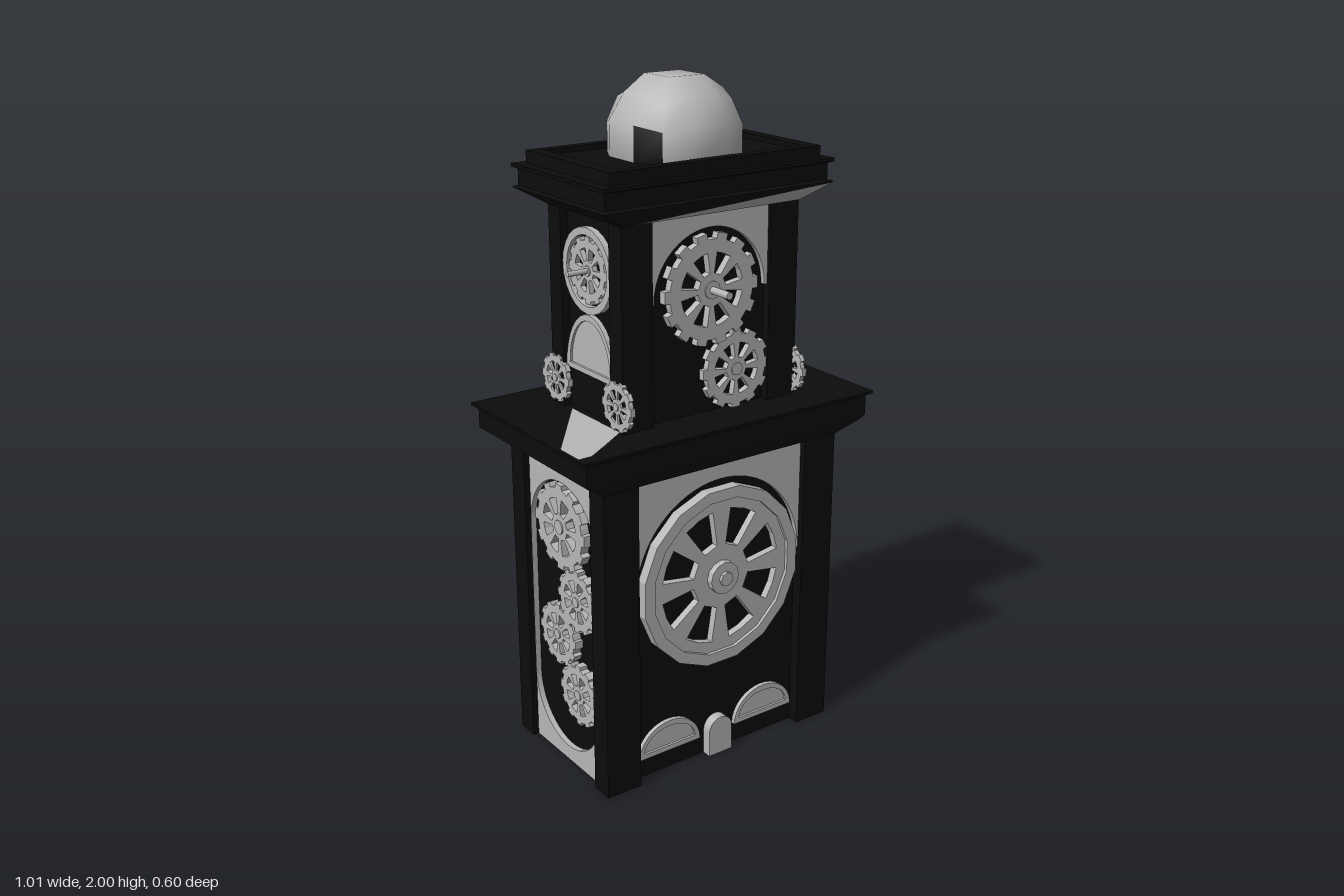
import * as THREE from 'three';

const black = new THREE.MeshStandardMaterial({ color: 0x0c0c0c });
black.name = 'black iron';
const grey = new THREE.MeshStandardMaterial({ color: 0xb8b8b8, side: THREE.DoubleSide });
grey.name = 'grey stone';

function add(parent, name, geometry, material, x = 0, y = 0, z = 0) {
  const mesh = new THREE.Mesh(geometry, material);
  mesh.name = name;
  mesh.position.set(x, y, z);
  parent.add(mesh);
  return mesh;
}

function extrude(shape, depth, curveSegments = 24) {
  return new THREE.ExtrudeGeometry(shape, { depth, bevelEnabled: false, curveSegments });
}

function polygon(points) {
  return new THREE.Shape(points.map(([x, y]) => new THREE.Vector2(x, y)));
}

function rectangle(hw, y0, y1) {
  return polygon([[-hw, y0], [hw, y0], [hw, y1], [-hw, y1]]);
}

// Round outline with a given number of sides
function ring(r, sides, turn = 0) {
  return Array.from({ length: sides }, (_, i) => {
    const a = (i / sides) * Math.PI * 2 + turn;
    return new THREE.Vector2(r * Math.cos(a), r * Math.sin(a));
  });
}

// Eight tapering openings between spokes
function cutSpokes(shape, inner, outer, half) {
  for (let i = 0; i < 8; i++) {
    const a = (i + 0.5) * Math.PI / 4;
    const at = (r, b) => new THREE.Vector2(r * Math.cos(a + b), r * Math.sin(a + b));
    shape.holes.push(new THREE.Path([
      at(inner, -half), at(outer, -half), at(outer, 0), at(outer, half), at(inner, half)]));
  }
  return shape;
}

// Toothed wheel with spokes and hub
function gear(parent, name, x, y, z, r, depth = 0.02, teeth = 12) {
  const pts = [];
  for (let i = 0; i < teeth; i++) {
    const profile = [[-0.5, 0.89], [-0.27, 0.89], [-0.24, 1], [0.24, 1], [0.27, 0.89]];
    for (const [k, f] of profile) {
      const a = ((i + k) / teeth) * Math.PI * 2;
      pts.push([r * f * Math.cos(a), r * f * Math.sin(a)]);
    }
  }
  const g = new THREE.Group();
  g.name = name;
  g.position.set(x, y, z);
  parent.add(g);
  add(g, 'gearWheel', extrude(cutSpokes(polygon(pts), r * 0.3, r * 0.66, 0.24), depth), grey);
  add(g, 'gearHub', extrude(new THREE.Shape(ring(r * 0.16, 12)), depth + 0.004), grey);
}

// Half-oval window: raised rim around a plate
function lunette(parent, x, y, z, rx, ry) {
  const half = (a, b, y0) => Array.from({ length: 17 }, (_, i) => {
    const t = (i / 16) * Math.PI;
    return new THREE.Vector2(a * Math.cos(t), y0 + b * Math.sin(t));
  });
  const rim = new THREE.Shape(half(rx, ry, 0));
  rim.holes.push(new THREE.Path(half(rx - 0.018, ry - 0.034, 0.016)));
  add(parent, 'windowRim', extrude(rim, 0.015), grey, x, y, z);
  add(parent, 'windowPlate', extrude(new THREE.Shape(half(rx - 0.01, ry - 0.01, 0.002)), 0.008), grey, x, y, z);
}

// Panel above a half-round arch
function archPanel(parent, hw, cy, r, top, z) {
  const s = new THREE.Shape();
  s.moveTo(hw, cy);
  s.lineTo(hw, top);
  s.lineTo(-hw, top);
  s.lineTo(-hw, cy);
  s.lineTo(-r, cy);
  s.absarc(0, cy, r, Math.PI, 0, true);
  add(parent, 'archPanel', extrude(s, 0.018), grey, 0, 0, z);
}

// Back panel with an oval opening and upright bars
function barredPanel(parent, hw, y0, y1, cy, ry, z) {
  const s = rectangle(hw, y0, y1);
  const hole = new THREE.Path();
  hole.absellipse(0, cy, hw - 0.003, ry, 0, Math.PI * 2, true);
  s.holes.push(hole);
  add(parent, 'ovalPanel', extrude(s, 0.018, 40), grey, 0, 0, z);
  const barR = hw * 0.065;
  for (const i of [-1, 0, 1]) {
    const h = 2 * ry * (i ? 0.82 : 1);
    add(parent, 'bar', new THREE.CylinderGeometry(barR, barR, h, 12), grey, i * hw * 0.62, cy, z);
  }
}

// Rectangular moulding lofted through [half width, half depth, height] rows
function moulding(parent, name, rows) {
  const pos = [];
  const corner = ([x, z, y], k) => [[-x, y, z], [x, y, z], [x, y, -z], [-x, y, -z]][k % 4];
  for (let i = 0; i < rows.length - 1; i++) {
    for (let k = 0; k < 4; k++) {
      const a = corner(rows[i], k), b = corner(rows[i], k + 1);
      const c = corner(rows[i + 1], k + 1), d = corner(rows[i + 1], k);
      pos.push(...a, ...b, ...c, ...a, ...c, ...d);
    }
  }
  const g = new THREE.BufferGeometry();
  g.setAttribute('position', new THREE.Float32BufferAttribute(pos, 3));
  g.computeVertexNormals();
  add(parent, name, g, black);
}

function triangle(parent, name, points) {
  const g = new THREE.BufferGeometry();
  g.setAttribute('position', new THREE.Float32BufferAttribute(points.flat(), 3));
  g.computeVertexNormals();
  add(parent, name, g, grey);
}

// Core and four corner posts of one storey
function storey(parent, hx, hz, px, pz, y0, y1, inset) {
  const h = y1 - y0, y = (y0 + y1) / 2;
  add(parent, 'core', new THREE.BoxGeometry(2 * (hx - inset), h, 2 * (hz - inset)), black, 0, y, 0);
  for (const sx of [-1, 1]) for (const sz of [-1, 1]) {
    add(parent, 'cornerPost', new THREE.BoxGeometry(hx - px, h, hz - pz), black,
      sx * (hx + px) / 2, y, sz * (hz + pz) / 2);
  }
}

export function createModel() {
  const model = new THREE.Group();
  model.name = 'clockTower';
  const face = (name, turn) => {
    const g = new THREE.Group();
    g.name = name;
    g.rotation.y = turn;
    model.add(g);
    return g;
  };
  storey(model, 0.41, 0.245, 0.295, 0.175, 0, 0.95, 0.035);
  storey(model, 0.3, 0.18, 0.2, 0.12, 1.06, 1.67, 0.025);

  // Cornices
  moulding(model, 'lowerCornice', [[0, 0, 0.945], [0.41, 0.245, 0.945], [0.475, 0.283, 0.99],
    [0.488, 0.288, 1.0], [0.488, 0.288, 1.062], [0.505, 0.3, 1.068], [0.505, 0.3, 1.076], [0, 0, 1.076]]);
  moulding(model, 'upperCornice', [[0, 0, 1.65], [0.3, 0.18, 1.65], [0.385, 0.228, 1.7],
    [0.372, 0.215, 1.705], [0.372, 0.215, 1.75], [0.385, 0.228, 1.755], [0.385, 0.228, 1.765],
    [0.35, 0.207, 1.765], [0.35, 0.207, 1.8], [0.31, 0.175, 1.8], [0.31, 0.175, 1.785], [0, 0, 1.785]]);
  triangle(model, 'frontSoffitPatch', [[-0.28, 1.65, 0.184], [0.3, 1.65, 0.184], [0.384, 1.698, 0.23]]);
  triangle(model, 'backSoffitPatch', [[0.4, 0.945, -0.249], [-0.41, 0.945, -0.249], [-0.475, 0.988, -0.287]]);
  for (const s of [-1, 1]) {
    const patch = polygon([[0.3, 0.08], [0.5, -0.18], [0.5, -0.27], [0.46, -0.27], [0.39, -0.225], [0.3, -0.165]]
      .map(([x, z]) => [s * x, -s * z]));
    add(model, 'ledgePatch', new THREE.ShapeGeometry(patch), grey, 0, 1.08, 0).rotation.x = -Math.PI / 2;
  }

  // Front: great wheel, small windows, door and upper gears
  const front = face('front', 0);
  archPanel(front, 0.295, 0.6, 0.293, 0.945, 0.208);
  const wheel = cutSpokes(new THREE.Shape(ring(0.255, 16)), 0.1, 0.21, 0.24);
  add(front, 'greatWheel', extrude(wheel, 0.025), grey, 0, 0.59, 0.208);
  const rim = new THREE.Shape(ring(0.28, 16, Math.PI / 16));
  rim.holes.push(new THREE.Path(ring(0.245, 16, Math.PI / 16)));
  add(front, 'wheelRim', extrude(rim, 0.035), grey, 0, 0.59, 0.208);
  add(front, 'wheelHub', extrude(new THREE.Shape(ring(0.05, 12)), 0.045), grey, 0, 0.59, 0.208);
  add(front, 'wheelPin', extrude(new THREE.Shape(ring(0.022, 8)), 0.055), grey, 0, 0.59, 0.208);
  for (const s of [-1, 1]) lunette(front, s * 0.175, 0.065, 0.208, 0.11, 0.1);
  const door = new THREE.Shape();
  door.moveTo(-0.042, 0);
  door.lineTo(0.042, 0);
  door.lineTo(0.042, 0.08);
  door.absarc(0, 0.08, 0.042, 0, Math.PI, false);
  add(front, 'door', extrude(door, 0.035), grey, 0, 0, 0.205);
  archPanel(front, 0.203, 1.42, 0.19, 1.65, 0.152);
  gear(front, 'largeUpperGear', 0, 1.435, 0.154, 0.16, 0.024, 14);
  gear(front, 'smallUpperGear', 0.092, 1.19, 0.154, 0.117);
  add(front, 'frontShaft', new THREE.CylinderGeometry(0.011, 0.011, 0.1, 10), grey, 0, 1.435, 0.207)
    .rotation.x = Math.PI / 2;

  // Back: barred oval openings
  const back = face('back', Math.PI);
  barredPanel(back, 0.295, 0, 0.945, 0.48, 0.385, 0.212);
  barredPanel(back, 0.203, 1.076, 1.65, 1.37, 0.235, 0.157);

  // Mirrored sides: gear train, dial, window and ledge gears
  for (const s of [1, -1]) {
    const side = face(s > 0 ? 'leftSide' : 'rightSide', s * Math.PI / 2);
    const panel = rectangle(0.176, 0, 0.945);
    const slot = new THREE.Path();
    slot.absarc(0, 0.725, 0.174, 0, Math.PI, false);
    slot.absarc(0, 0.22, 0.174, Math.PI, Math.PI * 2, false);
    panel.holes.push(slot);
    add(side, 'slotPanel', extrude(panel, 0.018), grey, 0, 0, 0.374);
    const train = [[0, 0.765, 0.132], [-0.08, 0.56, 0.097], [0.025, 0.415, 0.097], [-0.08, 0.258, 0.097]];
    for (const [x, y, r] of train) gear(side, 'trainGear', s * x, y, 0.376, r, 0.026);
    const dial = new THREE.Shape(ring(0.121, 24));
    dial.holes.push(new THREE.Path(ring(0.1, 24)));
    add(side, 'dialRim', extrude(dial, 0.02), grey, 0, 1.495, 0.274);
    gear(side, 'dialGear', 0, 1.495, 0.274, 0.095, 0.016);
    add(side, 'sideShaft', new THREE.CylinderGeometry(0.008, 0.008, 0.08, 8), grey, 0, 1.495, 0.315)
      .rotation.x = Math.PI / 2;
    lunette(side, 0, 1.195, 0.274, 0.12, 0.175);
    for (const t of [-1, 1]) gear(side, 'ledgeGear', t * 0.157, 1.152, 0.292, 0.072, 0.014, 10);
  }

  // Dome: a coarse cube rounded to a smooth sphere, with one dark facet
  const dome = new THREE.BoxGeometry(1, 1, 1, 3, 3, 3);
  const p = dome.attributes.position, v = new THREE.Vector3();
  for (let i = 0; i < p.count; i++) {
    v.fromBufferAttribute(p, i).normalize();
    dome.attributes.normal.setXYZ(i, v.x, v.y, v.z);
    p.setXYZ(i, v.x * 0.1936, v.y * 0.1936, v.z * 0.1936);
  }
  dome.clearGroups();
  dome.addGroup(0, 84, 0);
  dome.addGroup(84, 6, 1);
  dome.addGroup(90, Infinity, 0);
  add(model, 'dome', dome, [grey, black], 0, 1.825, 0);
  return model;
}
